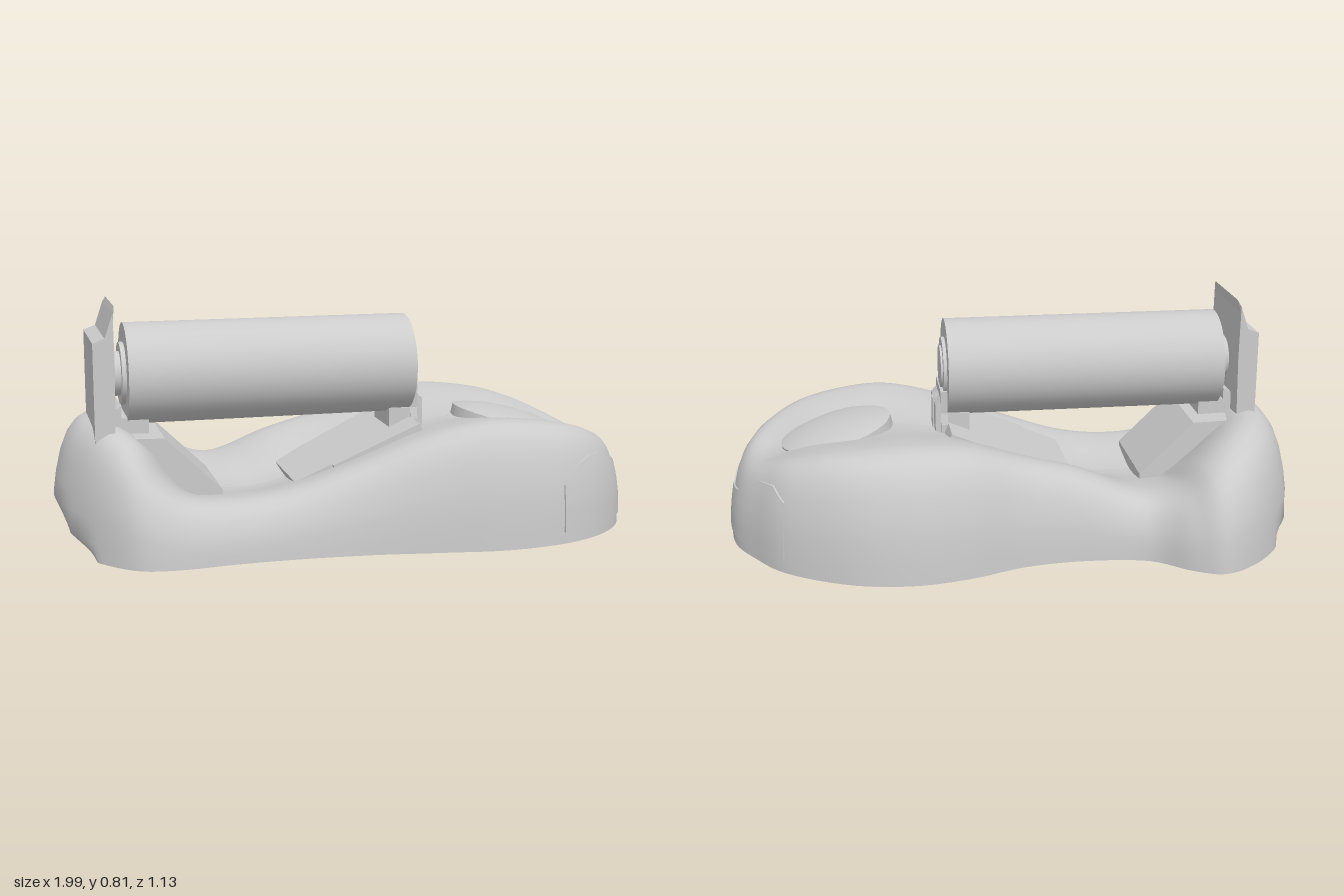
import * as THREE from 'three';
import { toCreasedNormals } from 'three/addons/utils/BufferGeometryUtils.js';

const mat = new THREE.MeshStandardMaterial({ color: 0xcccccc, side: THREE.DoubleSide });
const AXIS_Z = 0.08, AXIS_Y = 0.567;

// Plan outline with the height of the rounded rim: x, rim height, z
const rim = [
  [1.0, 0.28, 0.08], [0.98, 0.3, 0.25], [0.92, 0.33, 0.37], [0.81, 0.365, 0.47], [0.66, 0.39, 0.535],
  [0.45, 0.41, 0.56], [0.25, 0.375, 0.535], [0, 0.285, 0.5], [-0.25, 0.205, 0.485], [-0.45, 0.185, 0.49],
  [-0.62, 0.205, 0.505], [-0.74, 0.27, 0.49], [-0.83, 0.36, 0.42], [-0.92, 0.41, 0.29], [-0.99, 0.41, 0.1],
  [-0.98, 0.41, -0.15], [-0.9, 0.4, -0.34], [-0.78, 0.37, -0.49], [-0.65, 0.31, -0.565], [-0.55, 0.24, -0.53],
  [-0.42, 0.2, -0.43], [-0.2, 0.28, -0.4], [0, 0.335, -0.42], [0.2, 0.4, -0.49], [0.38, 0.415, -0.52],
  [0.58, 0.4, -0.49], [0.81, 0.355, -0.36], [0.91, 0.32, -0.23], [0.98, 0.29, -0.1],
].map(p => new THREE.Vector3(...p));
const rimCurve = new THREE.CatmullRomCurve3(rim, true);

// Section from wall foot to ridge: inward share, height share
const wall = [[0, 0], [0.005, 0.15], [0.015, 0.35], [0.035, 0.52], [0.07, 0.7], [0.115, 0.84], [0.17, 0.93], [0.23, 0.98], [0.3, 1]];
// Valley floor along the length: x, height
const floor = [[-0.52, 0.15], [-0.3, 0.15], [-0.1, 0.2], [0.1, 0.29], [0.25, 0.345], [0.4, 0.365], [0.65, 0.335]];

function lerpTable(table, v, from = 0, to = 1) {
  let i = 0;
  while (i < table.length - 2 && v > table[i + 1][from]) i++;
  const a = table[i], b = table[i + 1];
  const f = THREE.MathUtils.clamp((v - a[from]) / (b[from] - a[from]), 0, 1);
  return a[to] + (b[to] - a[to]) * f;
}

// Point on the body: t runs round the outline, s from the outline in to the spine
function bodyPoint(t, s) {
  const p = rimCurve.getPoint(((t % 1) + 1) % 1);
  const sx = THREE.MathUtils.clamp(p.x, -0.52, 0.65);
  let y = p.y * lerpTable(wall, s);
  if (s > 0.3) y = THREE.MathUtils.lerp(p.y, lerpTable(floor, sx), THREE.MathUtils.smoothstep(s, 0.3, 1));
  let x = THREE.MathUtils.lerp(p.x, sx, s);
  // the left end is undercut towards the ground
  if (y < 0.17 && s < 0.3) x = Math.max(x, -1 + 0.12 * (1 - y / 0.17) ** 2);
  return new THREE.Vector3(x, y, THREE.MathUtils.lerp(p.z, AXIS_Z - 0.01, s));
}

function grid(cols, rows, closed, fn) {
  const pos = [], idx = [], n = closed ? cols : cols + 1;
  for (let i = 0; i < n; i++) for (let k = 0; k <= rows; k++) pos.push(...fn(i, k).toArray());
  for (let i = 0; i < cols; i++) for (let k = 0; k < rows; k++) {
    const a = i * (rows + 1) + k, b = ((i + 1) % n) * (rows + 1) + k;
    idx.push(a, a + 1, b + 1, a, b + 1, b);
  }
  const g = new THREE.BufferGeometry();
  g.setAttribute('position', new THREE.Float32BufferAttribute(pos, 3));
  g.setIndex(idx);
  g.computeVertexNormals();
  return g;
}

// Side profile in x, y pulled across the width from z0 to z1
function extrudeZ(points, z0, z1) {
  const shape = new THREE.Shape(points.map(p => new THREE.Vector2(...p)));
  return new THREE.ExtrudeGeometry(shape, { depth: z1 - z0, bevelEnabled: false }).translate(0, 0, z0);
}

export function createModel() {
  const model = new THREE.Group();
  const add = (name, geometry, parent = model) => {
    const mesh = new THREE.Mesh(geometry, mat);
    mesh.name = name;
    parent.add(mesh);
    return mesh;
  };

  // Body shell and flat underside
  const levels = wall.map(w => w[0]);
  for (let k = 1; k <= 10; k++) levels.push(0.3 + 0.07 * k);
  const cols = 174;
  add('body', grid(cols, levels.length - 1, true, (i, k) => bodyPoint(i / cols, levels[k])));
  const outline = [];
  for (let i = 0; i < cols; i++) {
    const p = bodyPoint(i / cols, 0);
    outline.push(new THREE.Vector2(p.x, p.z));
  }
  add('underside', new THREE.ShapeGeometry(new THREE.Shape(outline)).rotateX(Math.PI / 2));

  // Raised panel wrapped round the nose: outline position, top edge height
  const panelTop = [[-3, 0.24], [-2.6, 0.28], [-2, 0.27], [-1, 0.2], [0, 0.165], [1, 0.195], [2, 0.25], [2.7, 0.28], [3.2, 0.28], [3.6, 0.26], [4, 0.2]];
  const pc = 56, pr = 10;
  const panel = grid(pc, pr, false, (i, k) => {
    const u = THREE.MathUtils.lerp(-3, 4, THREE.MathUtils.clamp((i - 1) / (pc - 2), 0, 1));
    const v = THREE.MathUtils.clamp((k - 1) / (pr - 2), 0, 1);
    const y = THREE.MathUtils.lerp(0.04, lerpTable(panelTop, u), v);
    const t = (u + rim.length) / rim.length;
    const p = bodyPoint(t, lerpTable(wall, y / rimCurve.getPoint(t % 1).y, 1, 0));
    const edge = i === 0 || i === pc || k === 0 || k === pr;
    const tan = rimCurve.getTangent(t % 1).setY(0).normalize();
    return p.addScaledVector(new THREE.Vector3(tan.z, 0, -tan.x), edge ? -0.012 : 0.006);
  });
  add('nosePanel', toCreasedNormals(panel, 0.7));

  // Domed round button, tilted with the slope
  const dome = [[0.2, -0.05], [0.2, 0], [0.17, 0.011], [0.12, 0.022], [0.06, 0.029], [0, 0.031]];
  const button = add('button', toCreasedNormals(new THREE.LatheGeometry(dome.map(p => new THREE.Vector2(...p)), 32), 0.7));
  button.position.set(0.62, 0.352, AXIS_Z);
  button.rotation.z = -0.24;

  // Roller with stepped end hubs
  const roller = new THREE.Group();
  roller.name = 'roller';
  roller.position.set(0, AXIS_Y, AXIS_Z);
  model.add(roller);
  const along = (name, r, x0, x1) => add(name, new THREE.CylinderGeometry(r, r, x1 - x0, 40).rotateZ(Math.PI / 2).translate((x0 + x1) / 2, 0, 0), roller);
  along('rollerDrum', 0.17, -0.75, 0.228);
  along('rollerHub', 0.105, -0.765, 0.24);
  along('rollerPin', 0.075, -0.79, 0.247);

  // Upright end plate with a leaning, chamfered tip
  const plate = extrudeZ([[-0.865, 0.34], [-0.8, 0.34], [-0.795, 0.6], [-0.797, 0.77], [-0.79, 0.81], [-0.798, 0.79], [-0.825, 0.71], [-0.865, 0.695]], -0.09, 0.255);
  const pp = plate.attributes.position;
  for (let i = 0; i < pp.count; i++) if (pp.getY(i) > 0.8) pp.setZ(i, AXIS_Z + (pp.getZ(i) - AXIS_Z) * 0.84);
  plate.computeVertexNormals();
  add('endPlate', plate);

  // Left cradle and the ramp running down into the valley
  add('leftCradle', extrudeZ([[-0.81, 0.34], [-0.68, 0.34], [-0.68, 0.43], [-0.77, 0.43], [-0.77, 0.47], [-0.81, 0.45]], -0.01, 0.17));
  add('ramp', extrudeZ([[-0.82, 0.12], [-0.45, 0.12], [-0.45, 0.19], [-0.64, 0.375], [-0.82, 0.38]], -0.1, 0.26));

  // Right support: flared yoke, saddle and a centre tab
  const yoke = new THREE.Shape([[-0.1, 0.33], [0.1, 0.33], [0.1, 0.38], [0.09, 0.42], [0.095, 0.5], [-0.095, 0.5], [-0.09, 0.42], [-0.1, 0.38]].map(p => new THREE.Vector2(...p)));
  add('rightYoke', new THREE.ExtrudeGeometry(yoke, { depth: 0.025, bevelEnabled: false }).rotateY(Math.PI / 2).translate(0.226, 0, AXIS_Z));
  add('rightSaddle', extrudeZ([[0.15, 0.3], [0.27, 0.3], [0.27, 0.45], [0.25, 0.47], [0.235, 0.47], [0.225, 0.42], [0.15, 0.42]], -0.01, 0.17));
  add('rightTab', extrudeZ([[0.25, 0.34], [0.275, 0.34], [0.275, 0.455], [0.25, 0.47]], 0.055, 0.105));

  // Stepped tray lying on the sloping floor
  const tray = new THREE.Group();
  tray.name = 'tray';
  tray.position.set(-0.2, 0.185, AXIS_Z - 0.005);
  tray.rotation.z = 0.4;
  model.add(tray);
  add('trayTongue', new THREE.BoxGeometry(0.16, 0.04, 0.39).translate(0.08, 0, 0), tray);
  add('trayPlate', new THREE.BoxGeometry(0.33, 0.04, 0.43).translate(0.305, 0, 0), tray);
  return model;
}
